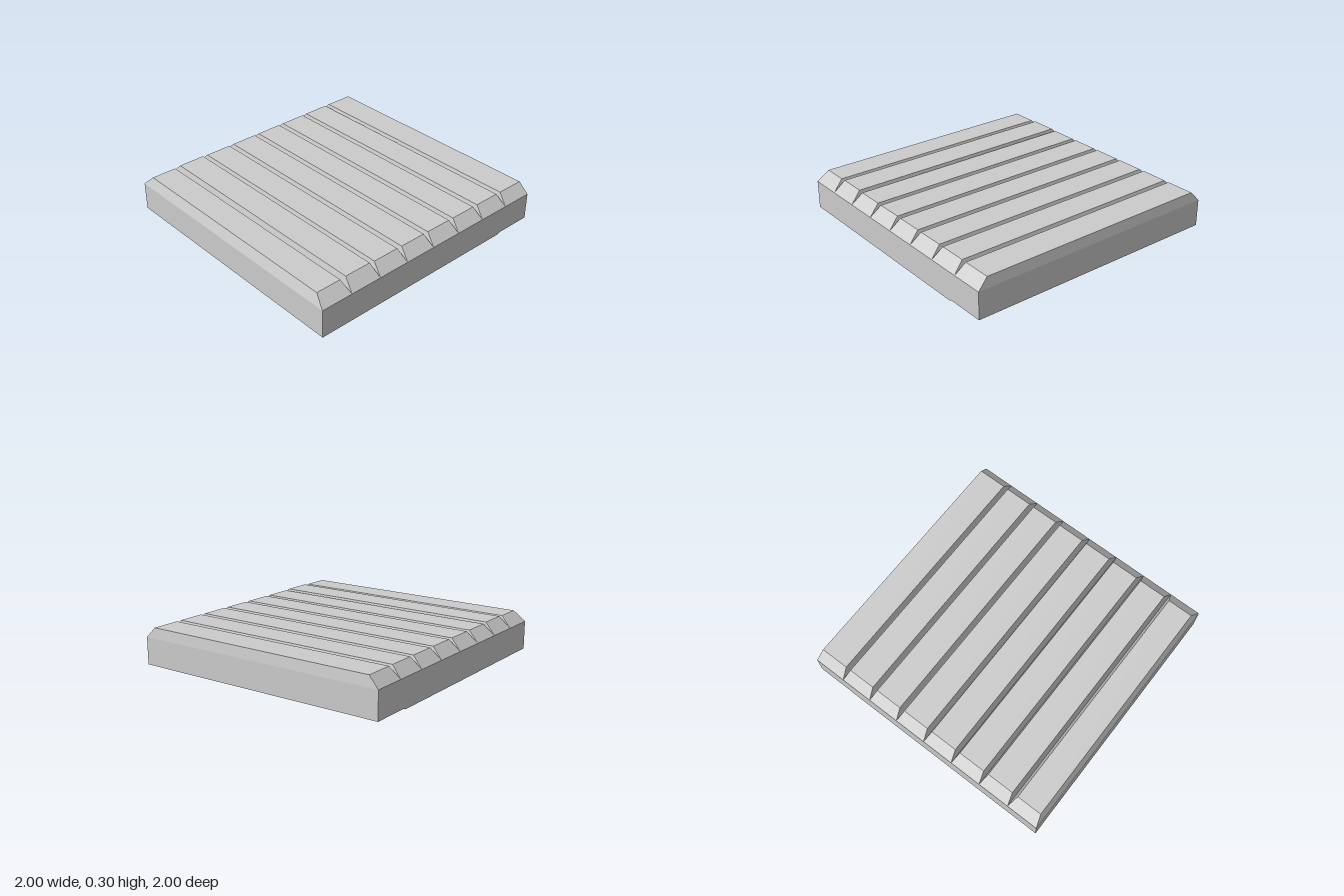
import * as THREE from 'three';

const material = new THREE.MeshStandardMaterial({ color: 0xcccccc, flatShading: true });
const SLAB_TOP = 0.215;
const COUNT = 8;
const PITCH = 2 / COUNT;

// Slab: side profile (z, y) with a slightly raised rear underside, extruded across x
function makeSlab() {
  const profile = [[1, 0], [1, SLAB_TOP], [-1, SLAB_TOP], [-1, 0.01], [-0.71, 0.01], [-0.69, 0]];
  const shape = new THREE.Shape(profile.map(([z, y]) => new THREE.Vector2(-z, y)));
  const geometry = new THREE.ExtrudeGeometry(shape, { depth: 2, bevelEnabled: false });
  geometry.translate(0, 0, -1).rotateY(Math.PI / 2);
  const slab = new THREE.Mesh(geometry, material);
  slab.name = 'slab';
  return slab;
}

// Rib: a box whose top face is drawn in on all four sides
function makeRib(index) {
  const back = -1 + index * PITCH;
  const front = back + PITCH;
  const top = index === COUNT - 2 ? 0.299 : 0.294;
  const halfTop = 0.925 - 0.009 * index / (COUNT - 1);
  const backInset = index === 0 ? 0.01 : index === COUNT - 1 ? 0.026 : 0.02;
  const frontInset = index === COUNT - 1 ? 0.028 : 0.02;

  const geometry = new THREE.BoxGeometry(2, 1, PITCH);
  const p = geometry.attributes.position;
  for (let i = 0; i < p.count; i++) {
    const upper = p.getY(i) > 0;
    const side = Math.sign(p.getX(i));
    const z = p.getZ(i) > 0 ? front - (upper ? frontInset : 0) : back + (upper ? backInset : 0);
    p.setXYZ(i, side * (upper ? halfTop : 1), upper ? top : SLAB_TOP, z);
  }
  geometry.computeVertexNormals();
  const rib = new THREE.Mesh(geometry, material);
  rib.name = `rib${index + 1}`;
  return rib;
}

export function createModel() {
  const model = new THREE.Group();
  model.name = 'ribbedSlab';
  model.add(makeSlab());

  const ribs = new THREE.Group();
  ribs.name = 'ribs';
  for (let i = 0; i < COUNT; i++) ribs.add(makeRib(i));
  model.add(ribs);
  return model;
}
